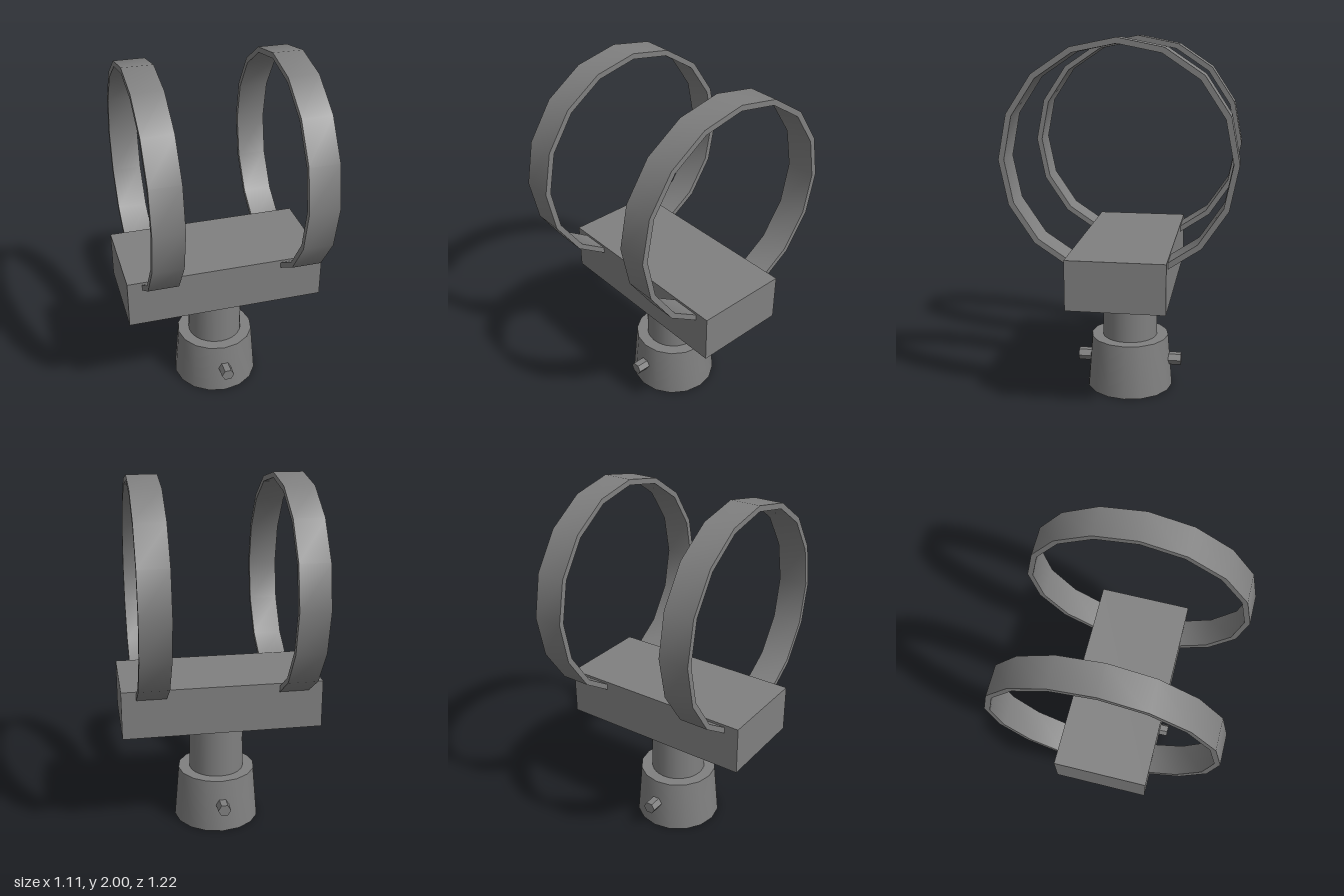
import * as THREE from 'three';
import { toCreasedNormals } from 'three/addons/utils/BufferGeometryUtils.js';

export function createModel() {
  const model = new THREE.Group();
  model.name = 'pipeClampMount';
  const metal = new THREE.MeshStandardMaterial({ color: 0x808080, side: THREE.DoubleSide });
  metal.name = 'grey metal';

  const add = (name, geometry, x = 0, y = 0, z = 0) => {
    const mesh = new THREE.Mesh(geometry, metal);
    mesh.name = name;
    mesh.position.set(x, y, z);
    model.add(mesh);
    return mesh;
  };
  // Turned part: smooth around the axis, sharp at the profile corners
  const turned = (points, sides) => toCreasedNormals(
    new THREE.LatheGeometry(points.map(([r, y]) => new THREE.Vector2(r, y)), sides), 0.6);

  // Hollow tapered socket, open at the bottom, with a flat shoulder
  add('socket', turned([[0.248, 0], [0.223, 0.305], [0.157, 0.305]], 16));

  // Tubular post running from inside the socket up to the block
  add('post', new THREE.CylinderGeometry(0.157, 0.157, 0.61, 24, 1, true), 0, 0.325, 0);

  // Saddle block
  add('block', new THREE.BoxGeometry(1.11, 0.27, 0.524), 0, 0.76, 0);

  // Clamp bands: 16-sided rings whose lower part sinks into the block
  const outer = 0.61, inner = 0.58, half = 0.082;
  const band = turned([
    [outer, -half], [outer, half], [inner, half], [inner, -half], [outer, -half],
  ], 16).rotateZ(Math.PI / 2);
  // Hexagonal set screws at the front and back of the socket
  const screw = new THREE.CylinderGeometry(0.037, 0.037, 0.14, 6);
  screw.rotateY(Math.PI / 6).rotateX(Math.PI / 2);
  const flatScrew = toCreasedNormals(screw, 0.6);

  for (const side of [1, -1]) {
    add(side > 0 ? 'leftBand' : 'rightBand', band, side * 0.392, 1.39, 0);
    add(side > 0 ? 'frontScrew' : 'backScrew', flatScrew, 0, 0.16, side * 0.231);
  }
  return model;
}
